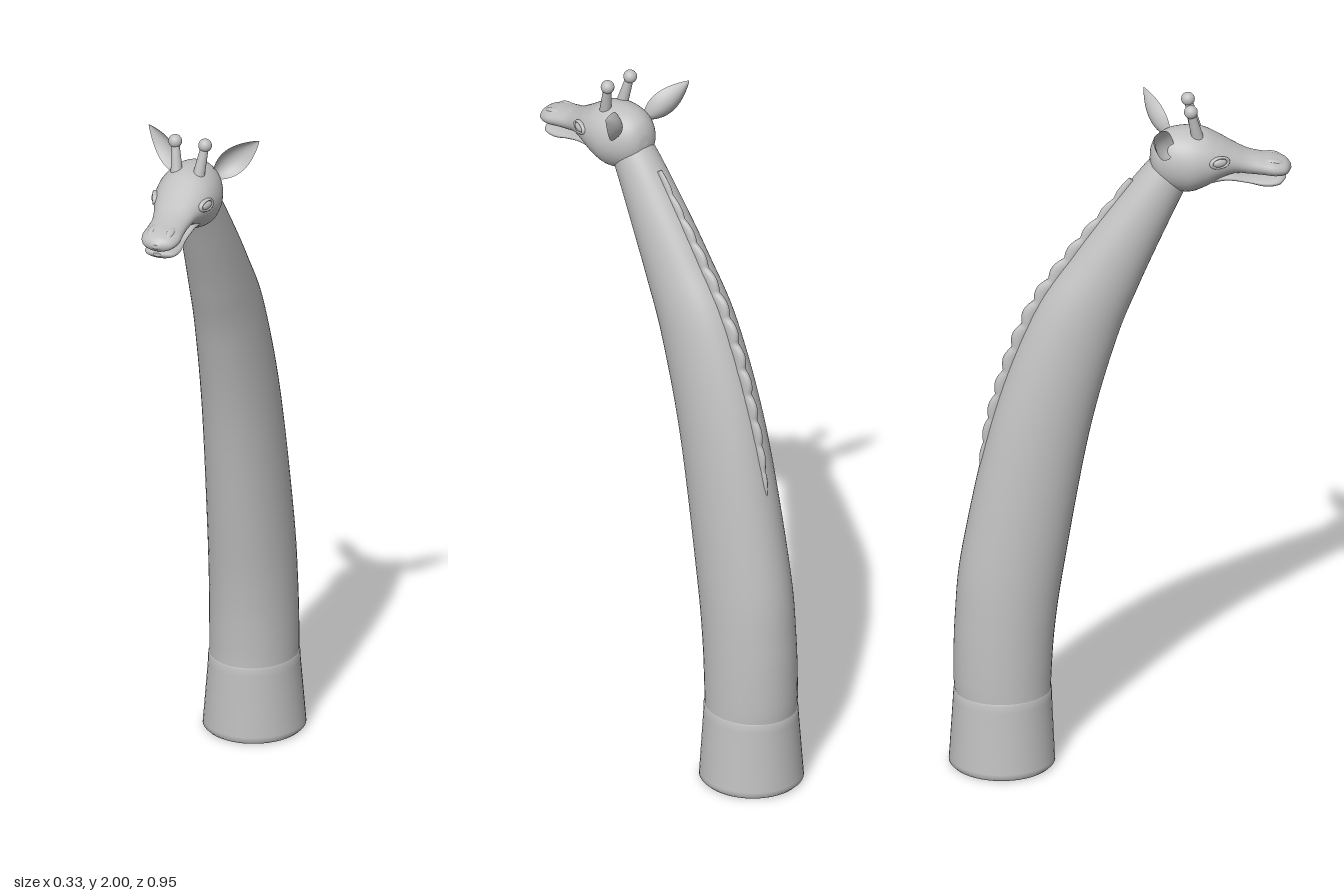
import * as THREE from 'three';

const grey = new THREE.MeshStandardMaterial({ color: 0xc0c0c0, side: THREE.DoubleSide });
grey.name = 'plain grey';

function addMesh(parent, name, geometry) {
  const mesh = new THREE.Mesh(geometry, grey);
  mesh.name = name;
  parent.add(mesh);
  return mesh;
}

// Skin of oval sections; each is [z, y of one edge, z, y of the opposite edge, half width in x]
function loft(sections, steps, sides, smooth = true) {
  let rows = sections;
  if (smooth) {
    const a = new THREE.CatmullRomCurve3(sections.map(s => new THREE.Vector3(s[4], s[1], s[0])), false, 'catmullrom', 0.5);
    const b = new THREE.CatmullRomCurve3(sections.map(s => new THREE.Vector3(s[4], s[3], s[2])), false, 'catmullrom', 0.5);
    rows = [];
    for (let i = 0; i <= steps; i++) {
      const p = a.getPoint(i / steps), q = b.getPoint(i / steps);
      rows.push([p.z, p.y, q.z, q.y, Math.max(0.001, p.x)]);
    }
  }
  const pos = [], index = [];
  const addRing = ([az, ay, bz, by, w]) => {
    for (let j = 0; j < sides; j++) {
      const t = (j / sides) * Math.PI * 2, c = Math.cos(t), s = Math.sin(t);
      pos.push(w * c, (ay + by) / 2 + ((by - ay) / 2) * s, (az + bz) / 2 + ((bz - az) / 2) * s);
    }
  };
  rows.forEach(addRing);
  for (let i = 0; i < rows.length - 1; i++) {
    for (let j = 0; j < sides; j++) {
      const k = (j + 1) % sides, r = i * sides, n = r + sides;
      index.push(r + j, r + k, n + j, r + k, n + k, n + j);
    }
  }
  // End caps with their own vertices keep the rims sharp
  [rows[0], rows[rows.length - 1]].forEach((row, end) => {
    const start = pos.length / 3;
    addRing(row);
    pos.push(0, (row[1] + row[3]) / 2, (row[0] + row[2]) / 2);
    for (let j = 0; j < sides; j++) {
      const p = start + j, q = start + ((j + 1) % sides), m = start + sides;
      index.push(...(end ? [m, p, q] : [m, q, p]));
    }
  });
  const g = new THREE.BufferGeometry();
  g.setAttribute('position', new THREE.Float32BufferAttribute(pos, 3));
  g.setIndex(index);
  g.computeVertexNormals();
  return g;
}

// Scalloped crest that follows the back of the neck
function maneGeometry() {
  const path = new THREE.CatmullRomCurve3([
    [0.90, -0.388], [1.07, -0.35], [1.37, -0.24], [1.545, -0.127], [1.69, -0.02], [1.765, 0.028],
  ].map(([y, z]) => new THREE.Vector3(0, y, z)));
  const rows = [], steps = 130, tufts = 13;
  for (let i = 0; i <= steps; i++) {
    const t = i / steps, p = path.getPointAt(t), d = path.getTangentAt(t);
    const swell = Math.pow(Math.sin(Math.PI * (0.02 + 0.96 * t)), 0.6);
    const h = swell * (0.015 + 0.013 * Math.abs(Math.sin(Math.PI * t * tufts)));
    const ny = d.z, nz = -d.y; // outward from the neck
    rows.push([p.z - nz * 0.02, p.y + ny * -0.02 * -1 * -1, p.z + nz * h, p.y - ny * -h, 0.004 + 0.01 * swell]);
  }
  return loft(rows, 0, 12, false);
}

// Cupped leaf from base to tip, opening forwards
function earGeometry(side) {
  const base = new THREE.Vector3(side * 0.06, 1.868, 0.148);
  const axis = new THREE.Vector3(side * 0.1, 0.097, -0.072);
  const face = new THREE.Vector3(side * 0.55, 0.1, 0.8).projectOnPlane(axis.clone().normalize()).normalize();
  const across = axis.clone().cross(face).normalize();
  const g = new THREE.PlaneGeometry(1, 1, 10, 18), pos = g.attributes.position;
  for (let i = 0; i < pos.count; i++) {
    const v = pos.getX(i) * 2, u = pos.getY(i) + 0.5;
    const w = 0.01 * (1 - u) + 0.034 * Math.pow(Math.sin(Math.PI * Math.pow(u, 0.85)), 0.85);
    const p = base.clone().addScaledVector(axis, u).addScaledVector(across, w * v)
      .addScaledVector(face, -0.6 * w * (1 - v * v) + 0.012 * u * u - 0.006);
    pos.setXYZ(i, p.x, p.y, p.z);
  }
  g.computeVertexNormals();
  return g;
}

export function createModel() {
  const model = new THREE.Group();
  model.name = 'giraffeBust';

  // Curved tapering neck
  addMesh(model, 'neck', loft([
    [-0.192, 0.20, -0.458, 0.20, 0.123], [-0.19, 0.28, -0.462, 0.28, 0.123],
    [-0.18, 0.42, -0.458, 0.45, 0.121], [-0.155, 0.60, -0.437, 0.66, 0.117],
    [-0.085, 1.0, -0.35, 1.07, 0.105], [-0.01, 1.28, -0.24, 1.37, 0.094],
    [0.053, 1.445, -0.127, 1.545, 0.084], [0.12, 1.6, -0.02, 1.69, 0.073],
    [0.185, 1.74, 0.085, 1.82, 0.06], [0.225, 1.8, 0.14, 1.86, 0.05],
  ], 72, 48));

  // Flared foot with a soft lip
  addMesh(model, 'baseCollar', loft([
    [-0.188, 0, -0.467, 0, 0.135], [-0.18, 0.008, -0.475, 0.008, 0.143],
    [-0.181, 0.02, -0.474, 0.02, 0.142], [-0.189, 0.2, -0.463, 0.2, 0.127],
    [-0.189, 0.222, -0.462, 0.222, 0.126], [-0.194, 0.23, -0.456, 0.23, 0.121],
  ], 0, 48, false));

  addMesh(model, 'mane', maneGeometry());

  // Head and lower jaw, from the back towards the nose
  const head = new THREE.Group();
  head.name = 'head';
  model.add(head);
  addMesh(head, 'skullAndSnout', loft([
    [0.083, 1.815, 0.083, 1.828, 0.006], [0.09, 1.785, 0.088, 1.86, 0.034],
    [0.11, 1.755, 0.105, 1.89, 0.058], [0.145, 1.735, 0.14, 1.91, 0.079],
    [0.19, 1.727, 0.19, 1.915, 0.09], [0.235, 1.742, 0.235, 1.907, 0.087],
    [0.275, 1.765, 0.275, 1.885, 0.077], [0.315, 1.778, 0.315, 1.86, 0.062],
    [0.355, 1.774, 0.355, 1.838, 0.053], [0.395, 1.769, 0.395, 1.826, 0.053],
    [0.43, 1.764, 0.43, 1.819, 0.055], [0.46, 1.766, 0.46, 1.808, 0.042],
    [0.475, 1.779, 0.475, 1.792, 0.01],
  ], 72, 40));
  addMesh(head, 'lowerJaw', loft([
    [0.2, 1.737, 0.2, 1.79, 0.055], [0.285, 1.76, 0.285, 1.79, 0.052],
    [0.35, 1.75, 0.35, 1.773, 0.046], [0.4, 1.736, 0.4, 1.767, 0.049],
    [0.44, 1.738, 0.44, 1.765, 0.042], [0.46, 1.75, 0.46, 1.761, 0.012],
  ], 36, 32));

  for (const side of [1, -1]) {
    const label = side > 0 ? 'left' : 'right';
    addMesh(head, label + 'Ear', earGeometry(side));

    // Horn: tapered stalk with a ball tip
    const foot = new THREE.Vector3(side * 0.032, 1.895, 0.213);
    const tip = new THREE.Vector3(side * 0.044, 1.981, 0.193);
    const rise = tip.clone().sub(foot);
    const stalk = addMesh(head, label + 'Horn', new THREE.CylinderGeometry(0.011, 0.017, rise.length(), 20));
    stalk.position.copy(foot).add(tip).multiplyScalar(0.5);
    stalk.quaternion.setFromUnitVectors(new THREE.Vector3(0, 1, 0), rise.normalize());
    addMesh(head, label + 'HornTip', new THREE.SphereGeometry(0.019, 24, 16)).position.copy(tip);

    // Almond eye ringed by a lid
    const eye = new THREE.Group();
    eye.name = label + 'Eye';
    eye.position.set(side * 0.075, 1.837, 0.27);
    eye.rotation.y = side * 1.25;
    head.add(eye);
    addMesh(eye, 'eyeball', new THREE.SphereGeometry(0.021, 24, 16)).scale.set(1.05, 0.6, 0.5);
    addMesh(eye, 'eyelids', new THREE.TorusGeometry(0.022, 0.005, 12, 32)).scale.set(1.15, 0.68, 1.4);

    // Raised nostril
    const nostril = addMesh(head, label + 'Nostril', new THREE.SphereGeometry(0.014, 20, 14));
    nostril.position.set(side * 0.026, 1.809, 0.425);
    nostril.scale.set(0.9, 0.75, 2);
    nostril.rotation.x = 0.2;
  }
  return model;
}
